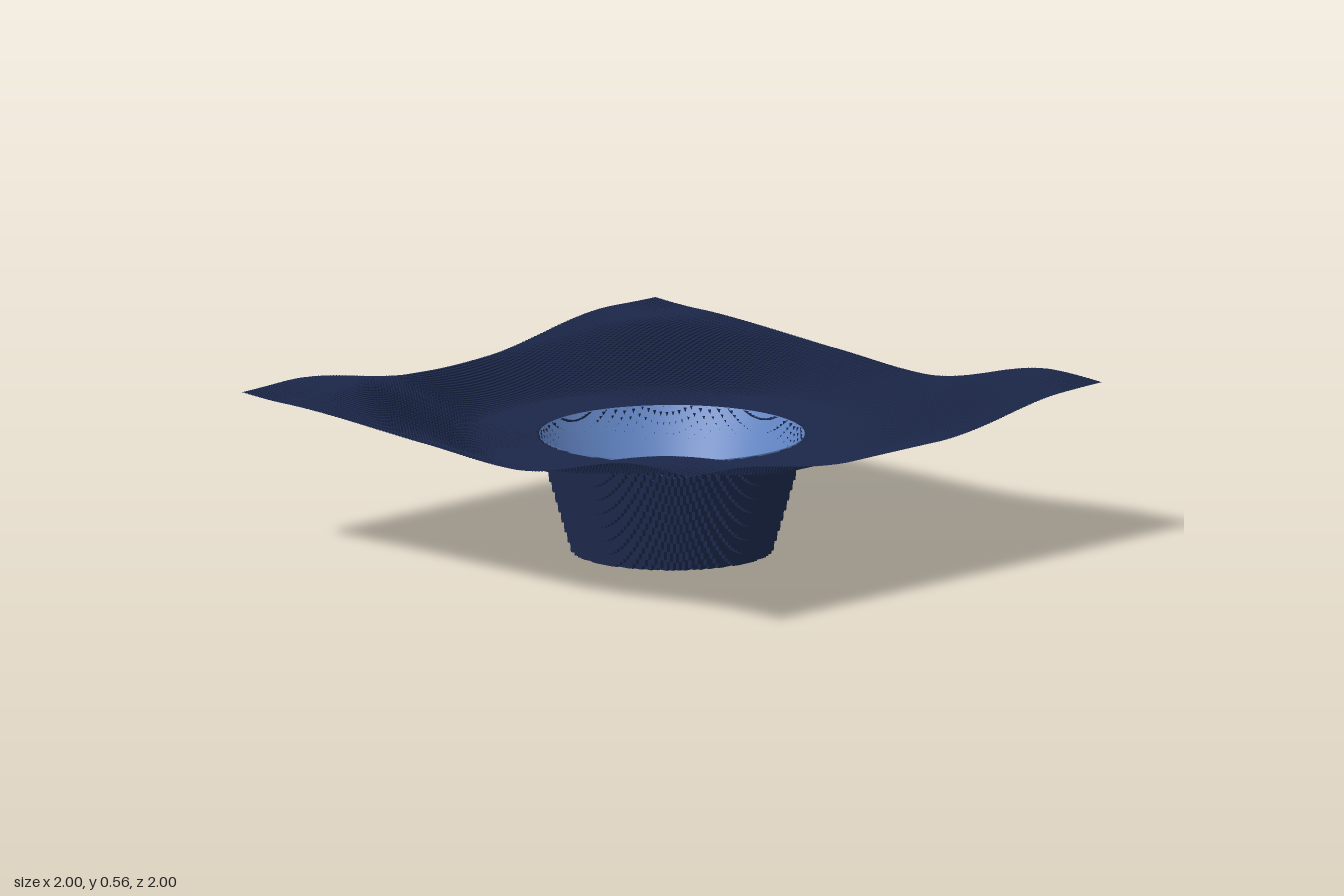
import * as THREE from 'three';

const N = 140;            // tiles per side
const S = 2 / N;          // tile size
const RIM = 0.44, FLOOR = 0.325;
const { smoothstep, clamp, degToRad } = THREE.MathUtils;

// Ground height: flat around the pit, rising to the edges, with domed corners and ripples
function height(x, z) {
  const r = Math.hypot(x, z);
  const edge = 0.09 * smoothstep(r, 0.65, 1.05);
  const corner = 0.068 * smoothstep(Math.abs(x), 0.2, 0.8) * smoothstep(Math.abs(z), 0.2, 0.8);
  const ripple = -0.016 * Math.sin(6 * x) * Math.cos(6 * z) * smoothstep(r, 0.5, 0.9);
  return (0.387 + edge + corner + ripple) * clamp((r - FLOOR) / (RIM - FLOOR), 0, 1);
}

// Stepped ground: one flat tile per cell and upright risers between neighbours
function terrainGeometry() {
  const pos = [], nor = [], idx = [];
  const quad = (a, b, c, d, n) => {
    const k = pos.length / 3;
    pos.push(...a, ...b, ...c, ...d);
    for (let i = 0; i < 4; i++) nor.push(...n);
    idx.push(k, k + 1, k + 2, k, k + 2, k + 3);
  };
  const at = (i, j) => height(-1 + (i + 0.5) * S, -1 + (j + 0.5) * S);
  for (let i = 0; i < N; i++) {
    for (let j = 0; j < N; j++) {
      const x0 = -1 + i * S, z0 = -1 + j * S, x1 = x0 + S, z1 = z0 + S;
      const h = at(i, j);
      quad([x0, h, z0], [x0, h, z1], [x1, h, z1], [x1, h, z0], [0, 1, 0]);
      // the pit is left open between its steps on the -x side
      const open = x0 < 0 && Math.hypot(x0, z0) < RIM;
      if (i < N - 1 && !open) {
        const g = at(i + 1, j), lo = Math.min(g, h), hi = Math.max(g, h);
        if (hi > lo) quad([x1, lo, z1], [x1, lo, z0], [x1, hi, z0], [x1, hi, z1], [1, 0, 0]);
      }
      if (j < N - 1) {
        const g = at(i, j + 1), lo = Math.min(g, h), hi = Math.max(g, h);
        if (hi > lo) quad([x0, lo, z1], [x1, lo, z1], [x1, hi, z1], [x0, hi, z1], [0, 0, 1]);
      }
    }
  }
  const geo = new THREE.BufferGeometry();
  geo.setAttribute('position', new THREE.Float32BufferAttribute(pos, 3));
  geo.setAttribute('normal', new THREE.Float32BufferAttribute(nor, 3));
  geo.setIndex(idx);
  return geo;
}

export function createModel() {
  const model = new THREE.Group();
  const material = (name, color, side = THREE.FrontSide) => {
    const m = new THREE.MeshStandardMaterial({ color, side });
    m.name = name;
    return m;
  };
  const navy = material('navy ground', 0x1b2749, THREE.DoubleSide);
  const blue = material('blue wall', 0x6488c8, THREE.DoubleSide);
  const teal = material('teal pool', 0x7ddee8, THREE.DoubleSide);
  const pale = material('pale blue post', 0x7ba4d6);

  const add = (name, geometry, mat, parent = model) => {
    const mesh = new THREE.Mesh(geometry, mat);
    mesh.name = name;
    parent.add(mesh);
    return mesh;
  };

  add('terrain', terrainGeometry(), navy);

  // Smooth funnel lining the pit
  const profile = [new THREE.Vector2(0.305, 0.01), new THREE.Vector2(0.437, 0.39)];
  add('pitWall', new THREE.LatheGeometry(profile, 64), blue);

  // Round pool surface held halfway up the pit
  const pool = add('pool', new THREE.CircleGeometry(0.2, 48), teal);
  pool.rotation.x = -Math.PI / 2;
  pool.position.y = 0.19;

  // Ring of upright posts around the floor
  const posts = new THREE.Group();
  posts.name = 'posts';
  model.add(posts);
  const postShape = new THREE.CylinderGeometry(0.016, 0.016, 0.165, 8);
  for (let i = 0; i < 14; i++) {
    const a = degToRad(7.5) + (i / 14) * Math.PI * 2;
    const post = add('post', postShape, pale, posts);
    post.position.set(0.305 * Math.sin(a), 0.09, -0.305 * Math.cos(a));
  }
  return model;
}
